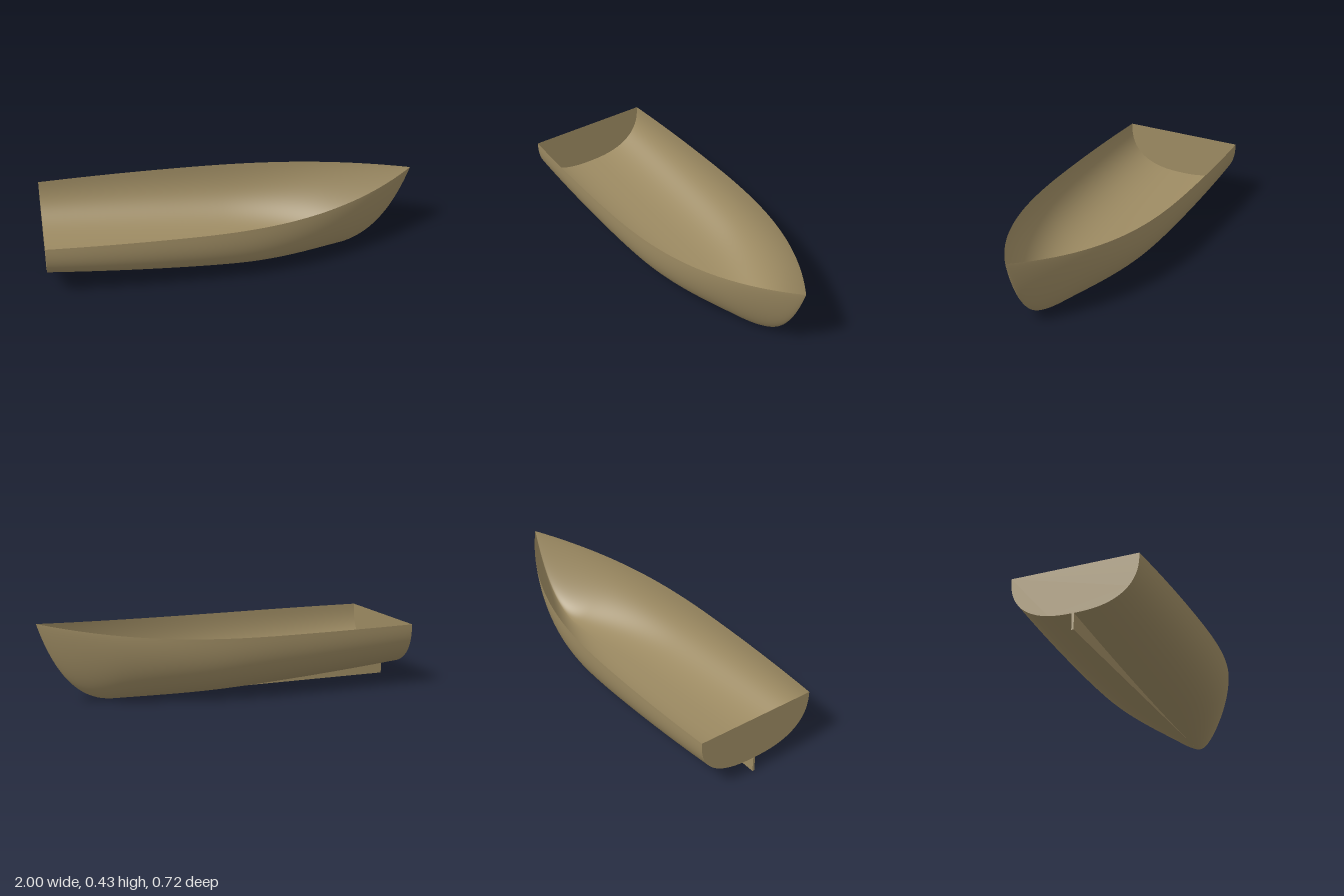
import * as THREE from 'three';

const STERN = -1, BOW = 1, MID = -0.35, FOREFOOT = 0.6;
const STATIONS = 80, RIBS = 40;

const fore = (x) => Math.pow(Math.max(0, (x - MID) / (BOW - MID)), 2.75);

// half width of the hull at the sheer line
function halfBeam(x) {
  if (x < MID) return 0.36 - 0.02 * ((x - MID) / (STERN - MID)) ** 2;
  return 0.36 * (1 - fore(x));
}

// height of the sheer line, rising towards the bow
const sheer = (x) => 0.342 + 0.085 * fore(x);

// bottom centreline: slow rise to the stern, curved stem at the bow
function bottom(x) {
  if (x < FOREFOOT) return 0.088 * Math.pow((FOREFOOT - x) / 1.6, 1.6);
  const t = (0.52 - Math.sqrt(Math.max(0, 0.2704 - 0.48 * (x - FOREFOOT)))) / 0.24;
  return 0.427 * t * t;
}

// point on the section at x; v runs from centreline (0) to sheer (1)
function sectionPoint(x, v) {
  const n = 2.5 - 1.25 * THREE.MathUtils.smoothstep(x, 0, 1.05); // round amidships, V at the bow
  const a = v * Math.PI / 2;
  const z = halfBeam(x) * Math.pow(Math.sin(a), 2 / n);
  const drop = v === 1 ? 0 : Math.pow(Math.cos(a), 2 / n);
  return [z, sheer(x) - (sheer(x) - bottom(x)) * drop];
}

// one half of the shell; side is +1 or -1 along z
function hullHalf(side) {
  const positions = [], index = [], row = RIBS + 1;
  for (let i = 0; i <= STATIONS; i++) {
    const x = STERN + (BOW - STERN) * Math.sin(i / STATIONS * Math.PI / 2);
    for (let j = 0; j <= RIBS; j++) {
      const [z, y] = sectionPoint(x, j / RIBS);
      positions.push(x, y, z * side);
    }
  }
  for (let i = 0; i < STATIONS; i++) {
    for (let j = 0; j < RIBS; j++) {
      const a = i * row + j, b = a + row, c = b + 1, d = a + 1;
      if (side > 0) index.push(a, b, d, b, c, d);
      else index.push(a, d, b, b, d, c);
    }
  }
  const geometry = new THREE.BufferGeometry();
  geometry.setAttribute('position', new THREE.Float32BufferAttribute(positions, 3));
  geometry.setIndex(index);
  geometry.computeVertexNormals();
  return geometry;
}

// flat plate closing the stern
function transomGeometry() {
  const points = [];
  for (let j = -RIBS; j <= RIBS; j++) {
    const [z, y] = sectionPoint(STERN, Math.abs(j) / RIBS);
    points.push(new THREE.Vector2(Math.sign(j) * z, y));
  }
  return new THREE.ShapeGeometry(new THREE.Shape(points))
    .rotateY(-Math.PI / 2).translate(STERN, 0, 0);
}

// thin tapering fin under the hull, level along its lower edge
function keelGeometry() {
  const width = 0.012;
  const shape = new THREE.Shape();
  shape.moveTo(STERN, 0);
  shape.lineTo(FOREFOOT, 0);
  for (let i = 1; i <= 24; i++) {
    const x = FOREFOOT + (STERN - FOREFOOT) * i / 24;
    shape.lineTo(x, bottom(x));
  }
  shape.closePath();
  return new THREE.ExtrudeGeometry(shape, { depth: width, bevelEnabled: false })
    .translate(0, 0, -width / 2);
}

export function createModel() {
  const group = new THREE.Group();
  group.name = 'boatHull';
  const material = new THREE.MeshStandardMaterial({ color: 0x9c8a62, side: THREE.DoubleSide });
  const add = (name, geometry) => {
    const mesh = new THREE.Mesh(geometry, material);
    mesh.name = name;
    group.add(mesh);
  };
  // bow points to +x, so the front of the frame (+z) is one broadside
  add('hullSideFront', hullHalf(1));
  add('hullSideBack', hullHalf(-1));
  add('transom', transomGeometry());
  add('keel', keelGeometry());
  return group;
}
